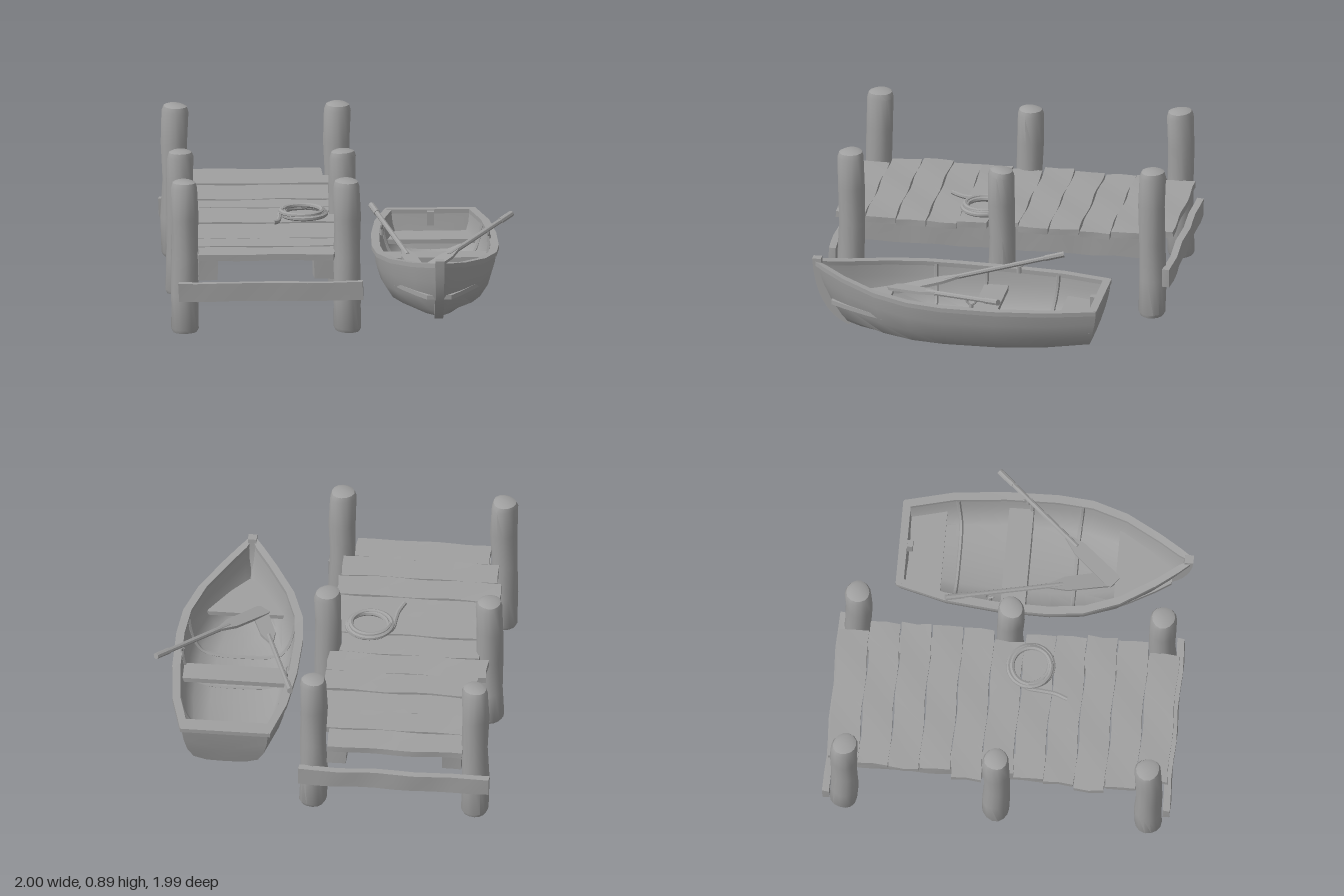
import * as THREE from 'three';
import { toCreasedNormals } from 'three/addons/utils/BufferGeometryUtils.js';

const wood = new THREE.MeshStandardMaterial({ color: 0xa0a0a0 });
wood.name = 'weathered grey';

function part(parent, name, geo, x = 0, y = 0, z = 0) {
  const mesh = new THREE.Mesh(toCreasedNormals(geo, 0.7), wood);
  mesh.name = name;
  mesh.position.set(x, y, z);
  parent.add(mesh);
  return mesh;
}

// Worn-wood wobble: the shift depends only on position, so seams stay closed
function weather(geo, amount, seed) {
  const p = geo.attributes.position;
  for (let i = 0; i < p.count; i++) {
    const x = p.getX(i), y = p.getY(i), z = p.getZ(i);
    p.setXYZ(i,
      x + amount * Math.sin(y * 13 + z * 31 + seed * 2.1),
      y + amount * 0.5 * Math.sin(x * 11 + z * 17 + seed * 3.7),
      z + amount * Math.sin(x * 15 + y * 9 + seed * 5.3));
  }
  return geo;
}

const plank = (w, h, d, amount, seed) =>
  weather(new THREE.BoxGeometry(w, h, d, w > 0.5 ? 10 : 2, 1, d > 0.5 ? 14 : 2), amount, seed);

// Skin through rings that run counterclockwise seen from +z, in order of rising z
function loft(rings, capped) {
  const n = rings[0].length, pos = rings.flat(2), idx = [];
  for (let i = 0; i < rings.length - 1; i++) {
    for (let j = 0; j < n; j++) {
      const a = i * n + j, b = i * n + (j + 1) % n;
      idx.push(a, b, b + n, a, b + n, a + n);
    }
  }
  if (capped) {
    [0, rings.length - 1].forEach((r) => {
      const c = pos.length / 3;
      for (let k = 0; k < 3; k++) pos.push(rings[r].reduce((s, q) => s + q[k], 0) / n);
      for (let j = 0; j < n; j++) {
        const a = r * n + j, b = r * n + (j + 1) % n;
        idx.push(...(r ? [c, a, b] : [c, b, a]));
      }
    });
  }
  const g = new THREE.BufferGeometry();
  g.setAttribute('position', new THREE.Float32BufferAttribute(pos, 3));
  g.setIndex(idx);
  return g;
}

function buildDock() {
  const dock = new THREE.Group();
  dock.name = 'dock';

  // Six mooring posts with rounded tops
  let seed = 1;
  for (const x of [-0.91, 0.015]) {
    for (const z of [-0.87, 0, 0.87]) {
      const h = z === 0 ? 0.835 : 0.885;
      const profile = [[0, 0], [0.068, 0], [0.078, 0.02], [0.079, h * 0.25], [0.075, h * 0.5], [0.077, h * 0.75],
        [0.076, h - 0.04], [0.066, h - 0.01], [0.045, h], [0, h]].map(([r, y]) => new THREE.Vector2(r, y));
      part(dock, 'post', weather(new THREE.LatheGeometry(profile, 14), 0.005, seed++), x, 0, z);
    }
  }

  // Deck planks: left edge, right edge
  const ends = [[-0.84, -0.07], [-0.87, -0.01], [-0.88, 0], [-0.87, 0], [-0.91, 0], [-0.86, -0.06],
    [-0.88, -0.01], [-0.89, 0], [-0.92, 0.01], [-0.89, 0], [-0.83, -0.06]];
  ends.forEach(([a, b], i) => {
    const y = 0.457 + 0.004 * Math.sin(i * 2.4);
    part(dock, 'deckPlank', plank(b - a, 0.036, 0.171, 0.005, i), (a + b) / 2, y, -0.885 + i * 0.177);
  });

  // Long bearers under the deck
  for (const x of [-0.78, -0.12]) {
    part(dock, 'bearer', plank(0.11, 0.135, 1.8, 0.005, x), x, 0.373, 0);
  }

  // Cross beams on the outside of the end posts
  part(dock, 'frontBeam', plank(1.05, 0.105, 0.04, 0.005, 4), -0.425, 0.255, 0.97);
  part(dock, 'backBeam', plank(1.09, 0.105, 0.04, 0.005, 7), -0.455, 0.255, -0.965);
  return dock;
}

function buildRope() {
  const rope = new THREE.Group();
  rope.name = 'rope';
  // Coil of three turns with a loose tail
  const pts = [];
  for (let i = 0; i <= 60; i++) {
    const a = Math.PI + i / 60 * Math.PI * 6;
    const r = 0.117 - 0.012 * Math.sin(i * 0.21);
    pts.push(new THREE.Vector3(-0.21 + r * Math.cos(a), 0.518 - i * 0.0004, 0.135 + r * Math.sin(a)));
  }
  const tail = [[-0.35, 0.49, 0.21], [-0.36, 0.49, 0.29], [-0.39, 0.5, 0.36]].map((p) => new THREE.Vector3(...p));
  const tube = (name, path, n, r) => part(rope, name, new THREE.TubeGeometry(new THREE.CatmullRomCurve3(path), n, r, 7));
  tube('ropeCoil', pts, 120, 0.014);
  tube('ropeTail', [new THREE.Vector3(-0.2, 0.5, 0.02), new THREE.Vector3(-0.29, 0.5, 0.05),
    new THREE.Vector3(-0.34, 0.495, 0.12), ...tail], 24, 0.013);
  return rope;
}

// Hull stations: z, half width, rail height, keel height, rake
const stations = [
  [-0.68, 0.245, 0.30, 0.05, -0.06], [-0.4, 0.315, 0.30, 0.03, -0.03], [-0.1, 0.345, 0.30, 0.02, 0],
  [0.2, 0.35, 0.305, 0.02, 0], [0.4, 0.33, 0.315, 0.025, 0.02], [0.6, 0.262, 0.332, 0.035, 0.05],
  [0.8, 0.145, 0.36, 0.045, 0.09], [0.92, 0.062, 0.385, 0.055, 0.13], [0.98, 0.015, 0.4, 0.06, 0.17]];

function stationAt(z) {
  let i = 0;
  while (i < stations.length - 2 && stations[i + 1][0] < z) i++;
  const [a, b] = [stations[i], stations[i + 1]];
  const t = (z - a[0]) / (b[0] - a[0]);
  return a.map((v, k) => v + (b[k] - v) * t);
}

// Hull section from the -x rail round the keel to the +x rail
const curve = [[1, 1], [0.97, 0.7], [0.89, 0.38], [0.75, 0.13], [0.45, 0.02], [0, 0]];
function section([z, w, top, keel, rake], inset = 0) {
  const hw = Math.max(w - inset, 0.003), low = keel + inset * 1.3;
  const pt = (s) => ([f, h]) => [s * f * hw, low + (top - low) * h, z - rake * (1 - h) ** 1.5];
  return [...curve.map(pt(-1)), ...curve.slice(0, -1).reverse().map(pt(1))];
}

// Bench that follows the inside of the hull
function bench(z0, z1, y, thick) {
  const rings = [];
  for (let i = 0; i <= 4; i++) {
    const z = z0 + (z1 - z0) * i / 4;
    const w = Math.max(stationAt(z)[1] * 0.95 - 0.015, 0.01);
    rings.push([[-w, y - thick, z], [w, y - thick, z], [w, y, z], [-w, y, z]]);
  }
  return loft(rings, true);
}

function buildBoat() {
  const boat = new THREE.Group();
  boat.name = 'rowingBoat';
  boat.position.x = 0.54;

  part(boat, 'hull', loft(stations.map((s) => [...section(s), ...section(s, 0.03).reverse()]), false));

  // Transom board and its top rail
  const stern = section(stations[0]);
  part(boat, 'transom', loft([stern, stern.map(([x, y, z]) => [x, y, z + 0.03])], true));
  part(boat, 'transomRail', new THREE.BoxGeometry(0.5, 0.024, 0.045), 0, 0.301, -0.66);
  part(boat, 'transomKnee', new THREE.BoxGeometry(0.04, 0.08, 0.04), 0, 0.265, -0.625);

  // Gunwale rails
  for (const s of [-1, 1]) {
    const rings = stations.map(([z, w, top]) => {
      const a = Math.max(w - 0.035, 0), b = w + 0.012;
      const ring = [[a, -0.013], [b, -0.013], [b, 0.012], [a, 0.012]].map(([x, y]) => [s * x, top + y, z]);
      return s > 0 ? ring : ring.reverse();
    });
    part(boat, 'gunwale', loft(rings, true));
  }

  // Curved stem at the bow
  const stem = new THREE.Shape();
  stem.moveTo(0.95, 0.43);
  stem.quadraticCurveTo(0.94, 0.17, 0.76, 0.06);
  stem.lineTo(0.79, 0.04);
  stem.quadraticCurveTo(0.98, 0.12, 1, 0.43);
  const stemGeo = new THREE.ExtrudeGeometry(stem, { depth: 0.05, bevelEnabled: false, curveSegments: 8 });
  part(boat, 'stem', stemGeo.translate(0, 0, -0.025).rotateY(-Math.PI / 2));

  // Benches
  part(boat, 'sternBench', bench(-0.64, -0.43, 0.19, 0.025));
  part(boat, 'middleBench', bench(-0.08, 0.06, 0.21, 0.028));
  part(boat, 'bowBench', bench(0.56, 0.88, 0.2, 0.025));

  // Ribs along the inside
  for (const z of [-0.37, 0.05, 0.34]) {
    const path = section(stationAt(z), 0.032).map((p) => new THREE.Vector3(...p));
    part(boat, 'rib', new THREE.TubeGeometry(new THREE.CatmullRomCurve3(path), 24, 0.013, 6));
  }
  return boat;
}

function buildOar(name, handle, tip) {
  const oar = new THREE.Group();
  oar.name = name;
  const a = new THREE.Vector3(...handle), b = new THREE.Vector3(...tip);
  const len = a.distanceTo(b);
  const dir = b.clone().sub(a).normalize();
  const side = new THREE.Vector3(0, 1, 0).cross(dir).normalize();
  oar.quaternion.setFromRotationMatrix(new THREE.Matrix4().makeBasis(side, dir, side.clone().cross(dir)));
  oar.position.copy(a);

  part(oar, 'oarShaft', new THREE.CylinderGeometry(0.015, 0.014, len - 0.3, 8), 0, (len - 0.3) / 2, 0);
  part(oar, 'oarGrip', new THREE.CylinderGeometry(0.018, 0.018, 0.11, 8), 0, 0.055, 0);
  const blade = new THREE.Shape([[-0.014, -0.38], [0.014, -0.38], [0.042, -0.28], [0.046, -0.02], [0.035, 0],
    [-0.035, 0], [-0.046, -0.02], [-0.042, -0.28]].map((p) => new THREE.Vector2(...p)));
  part(oar, 'oarBlade', new THREE.ExtrudeGeometry(blade, { depth: 0.016, bevelEnabled: false }), 0, len, -0.008);
  return oar;
}

// Forked oarlock on the rail
function buildOarlock(x, z) {
  const lock = new THREE.Group();
  lock.name = 'oarlock';
  lock.position.set(x, 0.3, z);
  part(lock, 'lockPin', new THREE.CylinderGeometry(0.012, 0.015, 0.04, 8), 0, 0.015, 0);
  const fork = part(lock, 'lockFork', new THREE.TorusGeometry(0.026, 0.008, 6, 12, Math.PI), 0, 0.06, 0);
  fork.rotation.set(0, Math.PI / 2, Math.PI, 'YXZ');
  return lock;
}

export function createModel() {
  const model = new THREE.Group();
  model.name = 'dockAndBoat';
  model.add(
    buildDock(), buildRope(), buildBoat(),
    buildOar('rightOar', [0.195, 0.405, -0.39], [0.46, 0.225, 0.55]),
    buildOar('leftOar', [0.985, 0.41, -0.15], [0.43, 0.235, 0.56]),
    buildOarlock(0.245, -0.14), buildOarlock(0.85, 0.03));
  return model;
}
